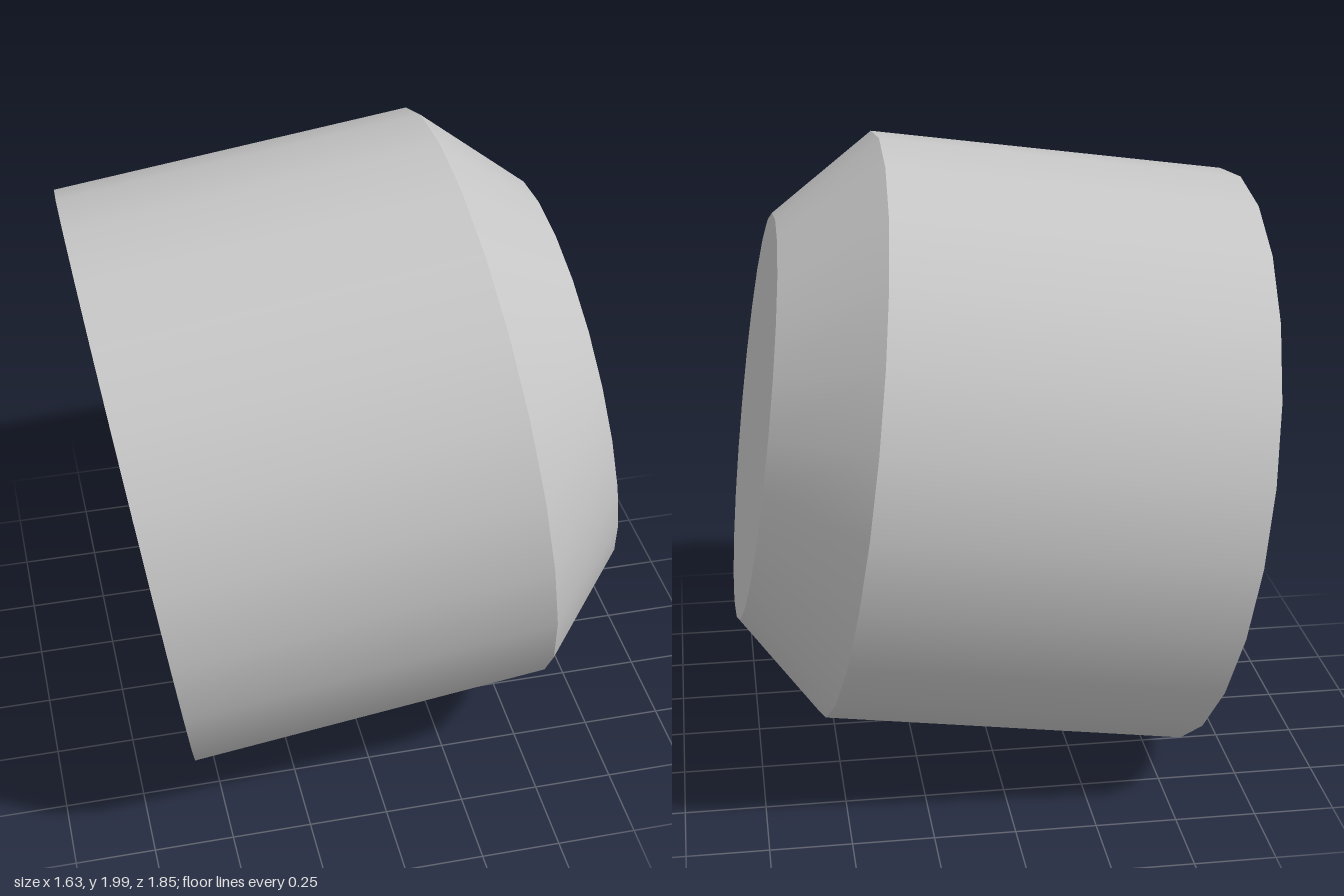
import * as THREE from 'three';

const SIDES = 24;
const RADIUS = 0.926;      // body radius
const CAP_RADIUS = 0.641;  // flat end radius
const BORE_RADIUS = 0.43;
const BORE_DEPTH = 1.14;
const SHOULDER = 1.14;     // where the chamfer begins along the axis
const LENGTH = 1.425;

export function createModel() {
  const grey = new THREE.MeshStandardMaterial({ color: 0xc6c6c6 });
  grey.name = 'light grey';

  const model = new THREE.Group();
  model.name = 'boredPlug';

  // Each band is revolved on its own so the edges between bands stay sharp
  const addBand = (name, r0, y0, r1, y1) => {
    const profile = [new THREE.Vector2(r0, y0), new THREE.Vector2(r1, y1)];
    const mesh = new THREE.Mesh(new THREE.LatheGeometry(profile, SIDES), grey);
    mesh.name = name;
    plug.add(mesh);
  };

  // Plug built along +y, then tipped so its axis points to +x and slightly up
  const plug = new THREE.Group();
  plug.name = 'plug';
  addBand('boreFloor', 0, BORE_DEPTH, BORE_RADIUS, BORE_DEPTH);
  addBand('boreWall', BORE_RADIUS, BORE_DEPTH, BORE_RADIUS, 0);
  addBand('rimFace', BORE_RADIUS, 0, RADIUS, 0);
  addBand('bodyWall', RADIUS, 0, RADIUS, SHOULDER);
  addBand('chamfer', RADIUS, SHOULDER, CAP_RADIUS, LENGTH);
  addBand('endFace', CAP_RADIUS, LENGTH, 0, LENGTH);

  plug.rotation.z = THREE.MathUtils.degToRad(7.95 - 90);
  plug.position.set(-0.687, 0.922, 0);
  model.add(plug);
  return model;
}
